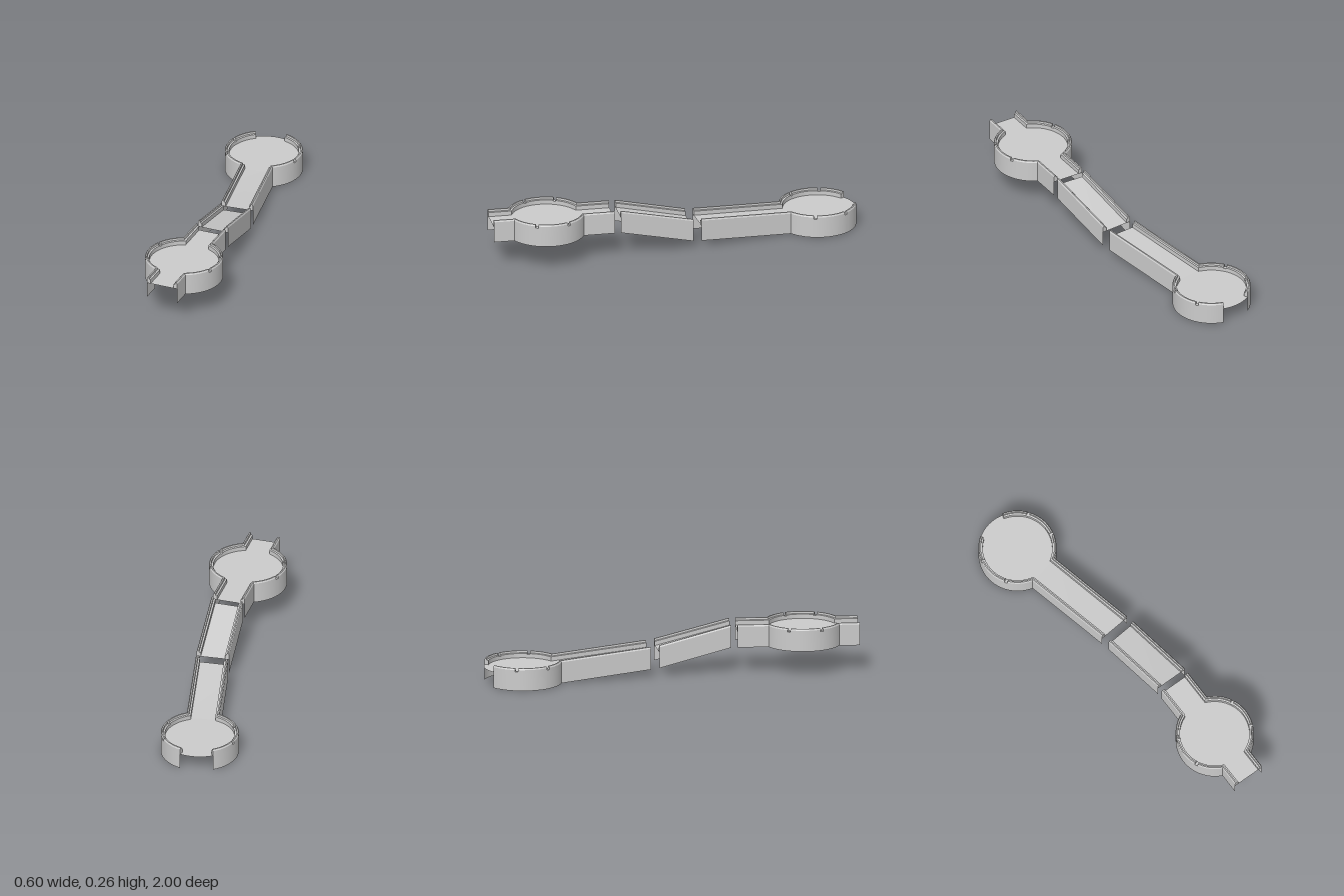
import * as THREE from 'three';
import { toCreasedNormals } from 'three/addons/utils/BufferGeometryUtils.js';

const RADIUS = 0.206, HALF = 0.087;          // round platform radius, half walkway width
const NOTCH_FLOOR = 0.018;                   // height of the notch bottoms above the floor
// Wall section: inward offset, height above the floor (skirt, chamfered top, inner ledge)
const PROFILE = [[0, -0.085], [0, 0], [0, 0.028], [0.005, 0.036], [0.012, 0.036],
  [0.013, 0.025], [0.022, 0.023], [0.022, 0]];

const material = new THREE.MeshStandardMaterial({ color: 0xcccccc, side: THREE.DoubleSide });

function makeMesh(name, triangles) {
  const geometry = new THREE.BufferGeometry().setFromPoints(triangles);
  const mesh = new THREE.Mesh(toCreasedNormals(geometry, 0.45), material);
  mesh.name = name;
  return mesh;
}

// Floor: strip between matching left and right edge points, running front to back
function makeFloor(left, right) {
  const v = (p) => new THREE.Vector3(p.x, p.y, p.z);
  const tris = [];
  for (let i = 0; i + 1 < left.length; i++) {
    tris.push(v(left[i]), v(right[i]), v(right[i + 1]));
    tris.push(v(left[i]), v(right[i + 1]), v(left[i + 1]));
  }
  return makeMesh('floor', tris);
}

// Wall: sweeps the section along an edge with mitred corners, cut down at the notches
function makeWall(name, path, side) {
  const normal = (p, q) => new THREE.Vector2(q.z - p.z, p.x - q.x).normalize().multiplyScalar(side);
  const rows = [];
  path.forEach((p, i) => {
    const n1 = i > 0 ? normal(path[i - 1], p) : normal(p, path[i + 1]);
    const n2 = i + 1 < path.length ? normal(p, path[i + 1]) : n1;
    const n = n1.clone().add(n2).divideScalar(1 + n1.dot(n2));
    const row = (top) => rows.push(PROFILE.map(([o, h]) =>
      new THREE.Vector3(p.x + n.x * o, p.y + Math.min(h, top), p.z + n.y * o)));
    if (p.notch === 'start') { row(1); row(NOTCH_FLOOR); }
    else if (p.notch === 'end') { row(NOTCH_FLOOR); row(1); }
    else row(1);
  });

  const tris = [];
  const face = (a, b, c) => {
    const area = b.clone().sub(a).cross(c.clone().sub(a)).length();
    if (area > 1e-9) tris.push(a, ...(side > 0 ? [b, c] : [c, b]));
  };
  for (let i = 0; i + 1 < rows.length; i++) {
    for (let k = 0; k + 1 < PROFILE.length; k++) {
      face(rows[i][k], rows[i + 1][k], rows[i + 1][k + 1]);
      face(rows[i][k], rows[i + 1][k + 1], rows[i][k + 1]);
    }
  }
  // End caps of the rim above the floor
  const first = rows[0], last = rows[rows.length - 1];
  for (let k = 2; k + 1 < PROFILE.length; k++) {
    face(first[1], first[k], first[k + 1]);
    face(last[1], last[k + 1], last[k]);
  }
  return makeMesh(name, tris);
}

function makeSection(name, left, right, floorTail = [[], []]) {
  const group = new THREE.Group();
  group.name = name;
  group.add(makeFloor([...left, ...floorTail[0]], [...right, ...floorTail[1]]),
    makeWall('rightWall', left, -1), makeWall('leftWall', right, 1));
  return group;
}

// Maps platform coordinates (across, along) to the world, turned about y
function placer(cx, y, cz, angle) {
  const c = Math.cos(angle), s = Math.sin(angle);
  return (u, v, notch) => ({ x: cx + u * c + v * s, y, z: cz - u * s + v * c, notch });
}

const arcEnd = Math.acos(HALF / RADIUS) * 180 / Math.PI;

// Round platform edge on one side, from the front neck to the back one
function platformArc(place, side) {
  const at = (deg, notch) => {
    const a = THREE.MathUtils.degToRad(deg);
    return place(side * RADIUS * Math.cos(a), RADIUS * Math.sin(a), notch);
  };
  const points = [at(arcEnd)];
  for (let deg = 60; deg >= -60; deg -= 5) {
    if (Math.abs(deg) === 25) points.push(at(deg + 2.3, 'start'), at(deg - 2.3, 'end'));
    else points.push(at(deg));
  }
  points.push(at(-arcEnd));
  return points;
}

// Floor edge that closes the disc behind the open end
function discTail(place, side) {
  return [70, 75, 80, 85, 90].map((deg) => {
    const a = THREE.MathUtils.degToRad(deg);
    return place(side * RADIUS * Math.cos(a), -RADIUS * Math.sin(a));
  });
}

export function createModel() {
  const model = new THREE.Group();
  model.name = 'walkway';

  // Upper platform with a neck at both ends
  const front = placer(0.091, 0.224, 0.703, 0);
  const frontEdge = (s) => [front(s * HALF, 0.297), ...platformArc(front, s), front(s * HALF, -0.353)];
  model.add(makeSection('upperPlatform', frontEdge(-1), frontEdge(1)));

  // Middle ramp
  model.add(makeSection('middleRamp',
    [{ x: 0.004, y: 0.224, z: 0.317 }, { x: -0.035, y: 0.13, z: -0.066 }],
    [{ x: 0.178, y: 0.224, z: 0.317 }, { x: 0.139, y: 0.13, z: -0.081 }]));

  // Lower platform with its long ramp, open at the far end
  const back = placer(-0.093, 0.085, -0.794, 0.195);
  model.add(makeSection('lowerPlatform',
    [{ x: -0.043, y: 0.125, z: -0.112 }, ...platformArc(back, -1)],
    [{ x: 0.13, y: 0.125, z: -0.127 }, ...platformArc(back, 1)],
    [discTail(back, -1), discTail(back, 1)]));

  return model;
}
